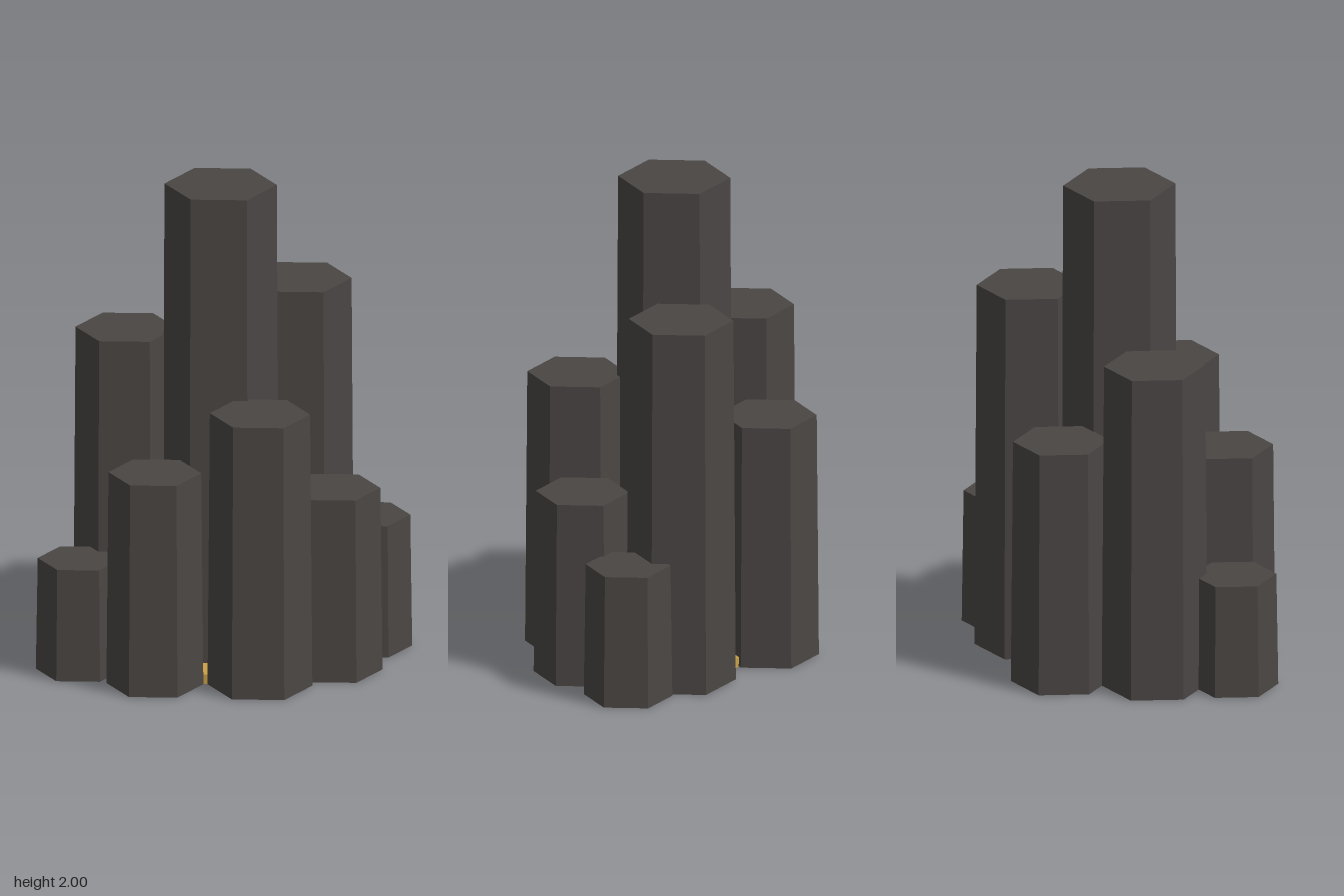
import * as THREE from 'three';

export function createModel() {
  const group = new THREE.Group();
  const basalt = new THREE.MeshStandardMaterial({ name: 'dark basalt', color: 0x4a4644, flatShading: true });
  const ochre = new THREE.MeshStandardMaterial({ name: 'ochre ground', color: 0xc9a044, flatShading: true });

  // Upright hexagonal prism, all turned by the same 15 degrees
  function hexPrism(name, material, x, z, topRadius, bottomRadius, bottom, top) {
    const geometry = new THREE.CylinderGeometry(topRadius, bottomRadius, top - bottom, 6);
    geometry.rotateY(Math.PI / 12);
    const mesh = new THREE.Mesh(geometry, material);
    mesh.name = name;
    mesh.position.set(x, (top + bottom) / 2, z);
    group.add(mesh);
  }

  // Thin ground slab showing between the columns
  hexPrism('groundSlab', ochre, 0, 0, 0.4, 0.4, 0, 0.04);

  // Columns, slightly wider at the foot: name, x, z, top radius, height
  const columns = [
    ['centreColumn', -0.01, 0.0, 0.225, 2.0],
    ['backLeftColumn', 0.345, -0.145, 0.21, 1.53],
    ['backRightColumn', -0.358, -0.178, 0.203, 1.36],
    ['frontColumn', 0.065, 0.383, 0.201, 1.15],
    ['backColumn', -0.043, -0.386, 0.194, 1.02],
    ['frontRightColumn', -0.342, 0.275, 0.186, 0.895],
    ['frontLeftColumn', 0.397, 0.254, 0.187, 0.77],
    ['outerLeftColumn', 0.595, -0.003, 0.17, 0.555],
    ['outerRightColumn', -0.597, 0.035, 0.168, 0.47],
  ];
  for (const [name, x, z, radius, height] of columns) {
    hexPrism(name, basalt, x, z, radius, radius * 1.045, 0.001, height);
  }
  return group;
}
